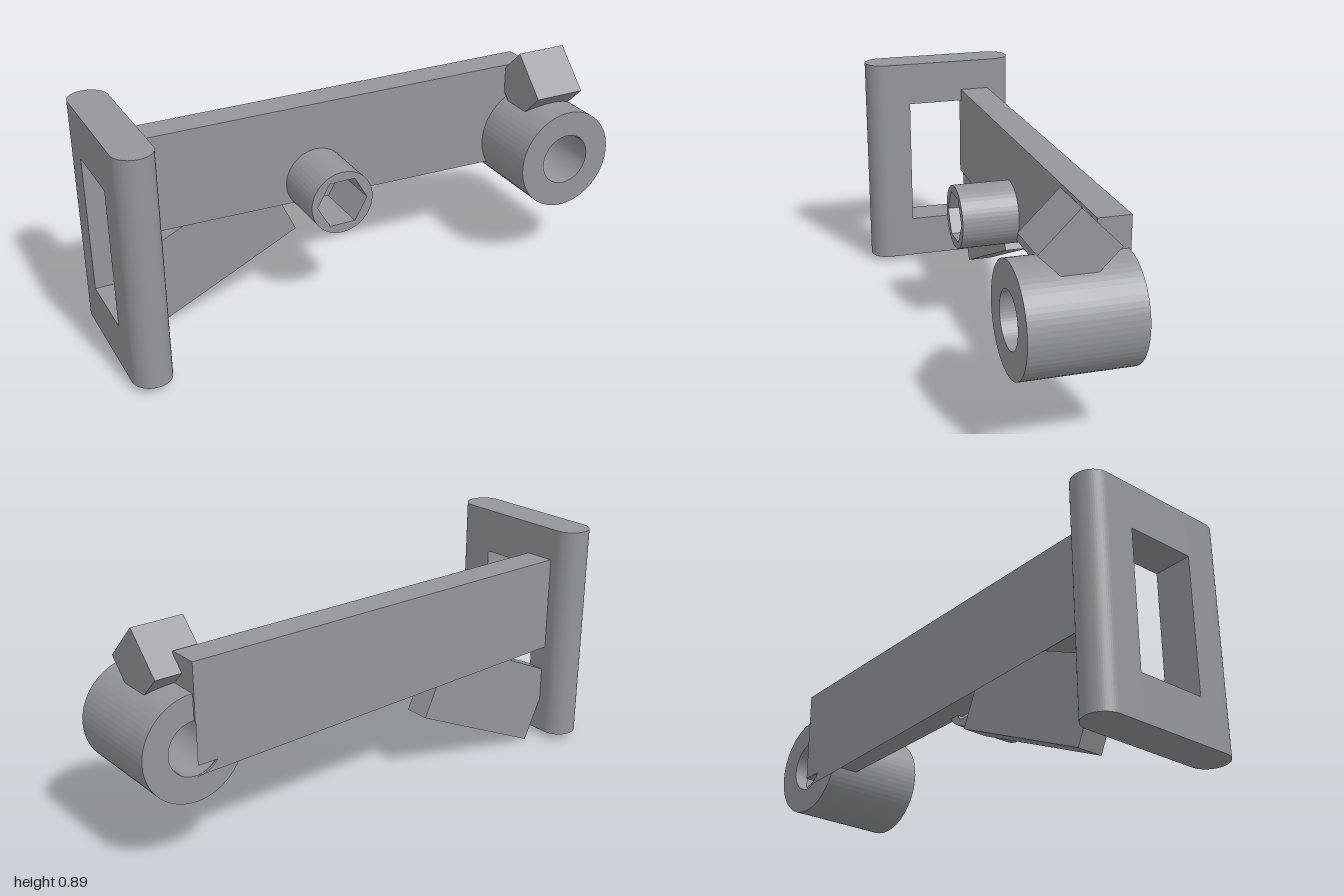
import * as THREE from 'three';

export function createModel() {
  const model = new THREE.Group();
  const metal = new THREE.MeshStandardMaterial({ color: 0x95969a });
  metal.name = 'grey metal';

  const add = (name, geometry, x = 0, y = 0, z = 0) => {
    const mesh = new THREE.Mesh(geometry, metal);
    mesh.name = name;
    mesh.position.set(x, y, z);
    model.add(mesh);
    return mesh;
  };
  const extrude = (shape, depth, curveSegments = 24) =>
    new THREE.ExtrudeGeometry(shape, { depth, bevelEnabled: false, curveSegments });

  // Mounting plate: two posts with rounded outer edges, joined by two rails around a window
  const plateX = -0.9275, half = 0.0725;
  for (const side of [1, -1]) {
    const profile = new THREE.Shape();
    profile.moveTo(-half, 0.135);
    profile.lineTo(half, 0.135);
    profile.lineTo(half, 0.2375);
    profile.absarc(0, 0.2375, half, 0, Math.PI, false);
    profile.closePath();
    const post = extrude(profile, 0.865, 16);
    post.rotateX(-Math.PI / 2);
    if (side > 0) post.rotateY(Math.PI);
    add(side > 0 ? 'frontPost' : 'rearPost', post, plateX, 0.03, 0);
  }
  add('topRail', new THREE.BoxGeometry(0.145, 0.173, 0.27), plateX, 0.8085, 0);
  add('bottomRail', new THREE.BoxGeometry(0.145, 0.17, 0.27), plateX, 0.115, 0);

  // Arm, notched at its end for the pivot bore, with a full skin behind
  const arm = new THREE.Shape();
  arm.moveTo(-0.88, 0.4);
  arm.lineTo(0.8, 0.4);
  arm.absarc(0.8, 0.46, 0.1, Math.PI * 1.5, Math.PI / 2, true);
  arm.lineTo(0.8, 0.77);
  arm.lineTo(-0.88, 0.77);
  arm.closePath();
  add('arm', extrude(arm, 0.118), 0, 0, -0.208);
  const skin = new THREE.PlaneGeometry(1.68, 0.37);
  skin.rotateY(Math.PI);
  add('armBackSkin', skin, -0.04, 0.585, -0.21);

  // Diagonal brace under the arm
  const brace = add('brace', new THREE.BoxGeometry(0.62, 0.3, 0.1), -0.562, 0.272, -0.15);
  brace.rotation.z = THREE.MathUtils.degToRad(25);

  // Pivot sleeve at the end of the arm
  const sleeve = new THREE.Shape().absarc(0, 0, 0.197, 0, Math.PI * 2, false);
  sleeve.holes.push(new THREE.Path().absarc(0, 0, 0.1, 0, Math.PI * 2, true));
  add('pivotSleeve', extrude(sleeve, 0.4, 32), 0.803, 0.46, -0.2);

  // Small boss with a hexagonal socket
  const boss = new THREE.Shape().absarc(0, 0, 0.123, 0, Math.PI * 2, false);
  const socket = [];
  for (let i = 0; i < 6; i++) {
    const a = -i * Math.PI / 3;
    socket.push(new THREE.Vector2(0.1 * Math.cos(a), 0.1 * Math.sin(a)));
  }
  boss.holes.push(new THREE.Path(socket));
  add('socketBoss', extrude(boss, 0.24, 24), -0.132, 0.465, -0.11);

  // Square block standing on its corner above the sleeve
  const block = add('topBlock', new THREE.BoxGeometry(0.2, 0.198, 0.198), 0.8, 0.708, 0);
  block.rotation.x = Math.PI / 4;

  return model;
}
